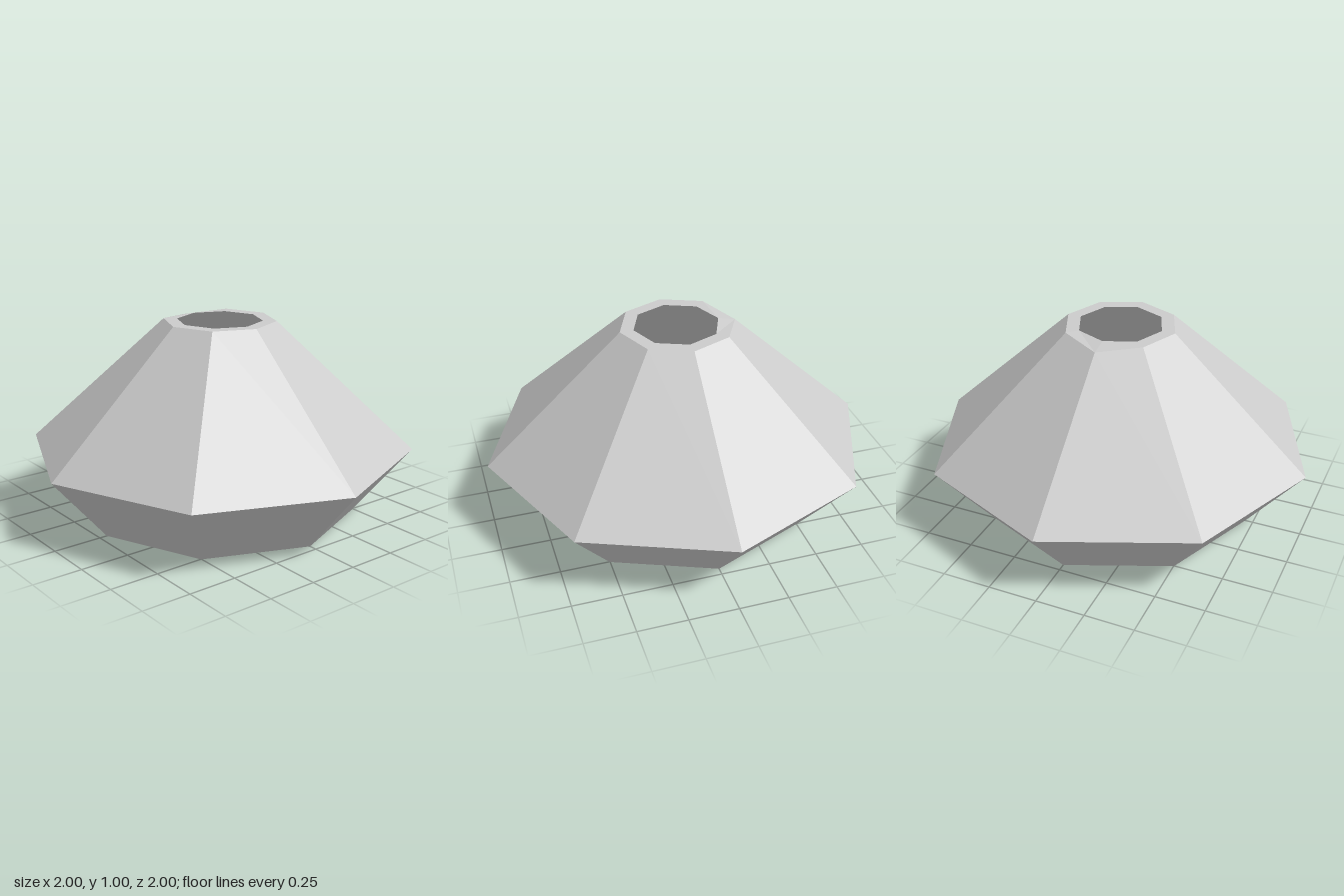
import * as THREE from 'three';

const SIDES = 8;

// One flat-shaded octagonal band; profile is [radius, y] pairs.
function band(name, profile, material) {
  const pts = profile.map(([r, y]) => new THREE.Vector2(r, y));
  const geo = new THREE.LatheGeometry(pts, SIDES);
  // chip in the upper rim on the -x corner
  const p = geo.attributes.position;
  for (let i = 0; i < p.count; i++) {
    if (p.getY(i) > 0.95 && p.getX(i) < -0.25 && Math.abs(p.getZ(i)) < 0.02) {
      p.setXYZ(i, -0.31, 0.98, 0);
    }
  }
  geo.computeVertexNormals();
  const mesh = new THREE.Mesh(geo, material);
  mesh.name = name;
  return mesh;
}

export function createModel() {
  const group = new THREE.Group();
  group.name = 'hollowFacetedRing';
  const mat = new THREE.MeshStandardMaterial({
    color: 0xcccccc, flatShading: true, side: THREE.DoubleSide,
  });

  // Corners of the hollow shell's cross-section
  const outerFoot = [0.71, 0], outerGirdle = [1, 0.345], outerLip = [0.29, 1];
  const innerLip = [0.22, 1], innerGirdle = [0.91, 0.345], innerFoot = [0.62, 0];

  group.add(
    band('lowerOuterWall', [outerFoot, outerGirdle], mat),
    band('upperOuterWall', [outerGirdle, outerLip], mat),
    band('topRim', [outerLip, innerLip], mat),
    band('upperInnerWall', [innerLip, innerGirdle], mat),
    band('lowerInnerWall', [innerGirdle, innerFoot], mat),
    band('bottomRim', [innerFoot, outerFoot], mat),
  );
  return group;
}
